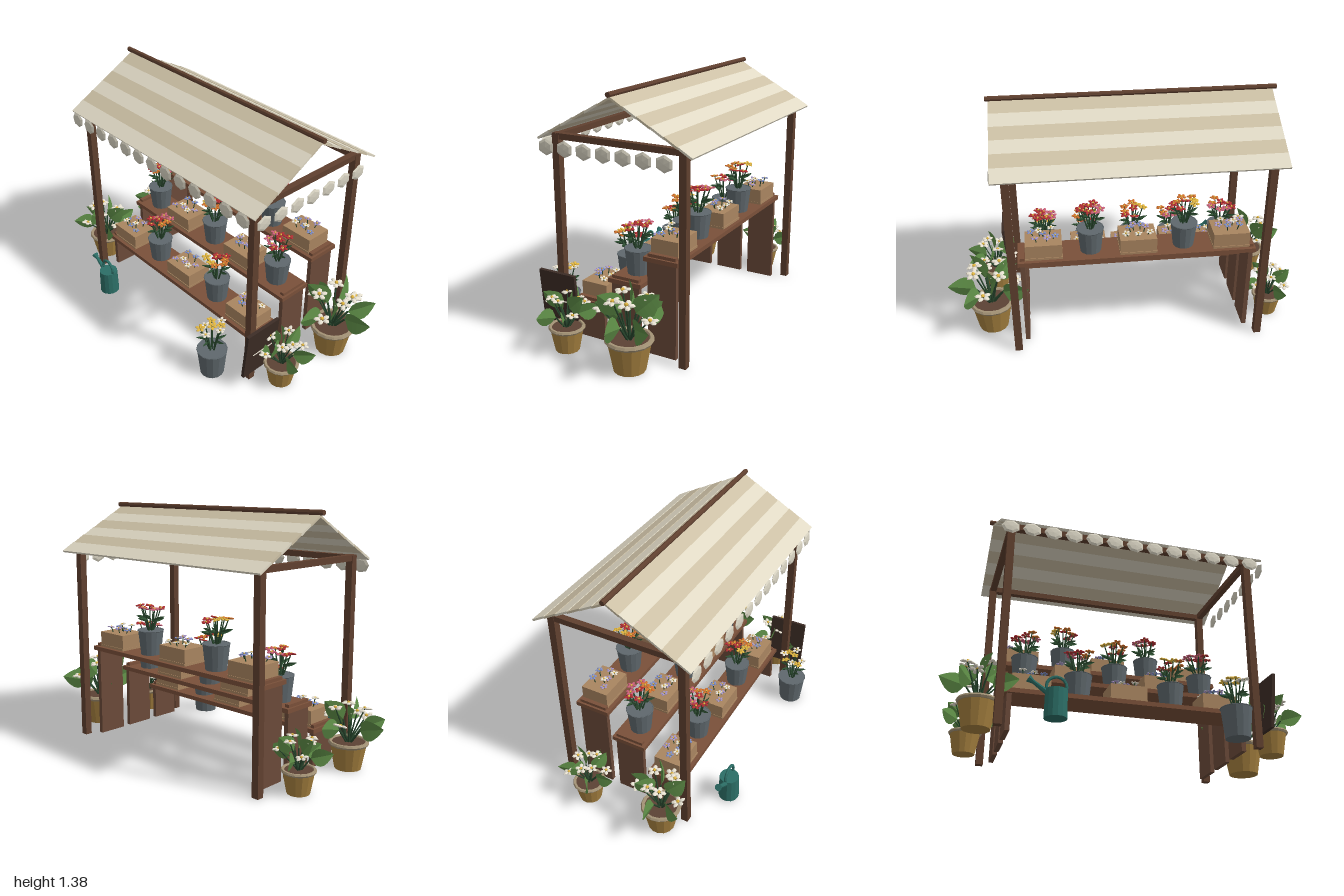
import * as THREE from 'three';

const mat = (color, side = THREE.FrontSide) =>
  new THREE.MeshStandardMaterial({ color, flatShading: true, side });
const M = {
  post: mat(0x60402f), shelf: mat(0x7a5039), panel: mat(0x6b4a39), dark: mat(0x3c2c25),
  cream: mat(0xe0d9c5), tan: mat(0xccc0a5), scallop: mat(0xd6d1c0),
  crate: mat(0xa98560), zinc: mat(0x5f686d), can: mat(0x2c6e66),
  clay: mat(0xa5803f), rim: mat(0xa39275), soil: mat(0x5c4234),
  stem: mat(0x27452c), leaf: mat(0x5c8a45, THREE.DoubleSide),
  blade: mat(0x2f5233, THREE.DoubleSide),
  red: mat(0xb02f33), orange: mat(0xd0702c), pink: mat(0xc85f78), yellow: mat(0xe0b540),
  white: mat(0xe8e2d2), blue: mat(0x7f8fc8), lilac: mat(0xa898c8),
};
const V = (x, y, z) => new THREE.Vector3(x, y, z);
const CX = -0.04; // centre line of the stall

function add(parent, name, geo, material, x = 0, y = 0, z = 0) {
  const m = new THREE.Mesh(geo, material);
  m.name = name;
  m.position.set(x, y, z);
  parent.add(m);
  return m;
}
function group(parent, name, x = 0, y = 0, z = 0) {
  const g = new THREE.Group();
  g.name = name;
  g.position.set(x, y, z);
  parent.add(g);
  return g;
}
const box = (p, name, w, h, d, m, x, y, z) => add(p, name, new THREE.BoxGeometry(w, h, d), m, x, y, z);

// Tapered rod between two points
function rod(parent, name, a, b, r0, r1, m, sides = 5) {
  const d = b.clone().sub(a);
  const mesh = add(parent, name, new THREE.CylinderGeometry(r1, r0, d.length(), sides), m);
  mesh.position.copy(a).addScaledVector(d, 0.5);
  mesh.quaternion.setFromUnitVectors(V(0, 1, 0), d.normalize());
  return mesh;
}

// Folded leaf, one unit long along x and one unit wide
const leafGeo = new THREE.PlaneGeometry(1, 1, 6, 2);
{
  const p = leafGeo.attributes.position;
  for (let i = 0; i < p.count; i++) {
    const t = p.getX(i) + 0.5, s = p.getY(i) * 2;
    const w = 0.5 * Math.pow(Math.sin(Math.PI * Math.pow(t, 0.75)), 0.9) || 0;
    p.setXYZ(i, t, s * w, Math.abs(s) * w * 0.3 - 0.12 * t * t);
  }
}
const petalGeo = new THREE.SphereGeometry(1, 6, 4);

// Flat open flower with five petals
function flower(parent, r, m, x, y, z, turn) {
  const g = group(parent, 'flower', x, y, z);
  g.rotation.set(Math.sin(turn * 3) * 0.2, turn, Math.cos(turn * 5) * 0.2);
  for (let i = 0; i < 5; i++) {
    const a = i * Math.PI * 0.4;
    const p = add(g, 'petal', petalGeo, m, Math.cos(a) * r * 0.6, 0, Math.sin(a) * r * 0.6);
    p.scale.set(r * 0.45, r * 0.18, r * 0.34);
    p.rotation.y = -a;
  }
  add(g, 'flowerCentre', petalGeo, M.yellow, 0, r * 0.12, 0).scale.set(r * 0.25, r * 0.2, r * 0.25);
}

// Fan of stems with flowers and small blades
function bouquet(parent, y, height, spread, colors, seed) {
  const g = group(parent, 'bouquet', 0, y, 0);
  for (let i = 0; i < 8; i++) {
    const a = i * 2.4 + seed, k = i === 0 ? 0.1 : 0.45 + 0.55 * Math.sqrt(i / 8);
    const x = Math.cos(a) * spread * k, z = Math.sin(a) * spread * k;
    const h = height * (1 - 0.18 * ((i * 3) % 5) / 4);
    rod(g, 'stem', V(x * 0.15, -0.02, z * 0.15), V(x, h, z), 0.005, 0.003, M.stem);
    flower(g, 0.027, colors[i % colors.length], x, h, z, a);
    const b = add(g, 'blade', leafGeo, M.blade, x * 0.4, h * 0.45, z * 0.4);
    b.rotation.set(-Math.PI / 2, 0.25, -a, 'YXZ');
    b.rotation.set(0, -a, 0.25);
    b.scale.set(0.065, 0.02, 0.03);
  }
}

// Tapered bucket with rim and soil
function bucket(parent, name, x, y, z, r, h, colors, seed, tall) {
  const g = group(parent, name, x, y, z);
  add(g, 'bucketBody', new THREE.CylinderGeometry(r, r * 0.79, h, 14), M.zinc, 0, h / 2, 0);
  add(g, 'bucketRim', new THREE.TorusGeometry(r, 0.003, 5, 14), M.zinc, 0, h, 0).rotation.x = Math.PI / 2;
  bouquet(g, h, tall, 0.068, colors, seed);
}

function crate(parent, x, y, z, seed) {
  const g = group(parent, 'flowerCrate', x, y, z);
  box(g, 'crateBody', 0.2, 0.09, 0.155, M.crate, 0, 0.045, 0);
  box(g, 'crateBase', 0.204, 0.012, 0.162, M.crate, 0, 0.008, 0);
  const colors = [M.blue, M.white, M.lilac];
  for (let i = 0; i < 7; i++) {
    const fx = (i - 3) * 0.022, fz = Math.sin(i * 2.3 + seed) * 0.045, h = 0.112 + 0.018 * ((i * 2) % 3) / 2;
    rod(g, 'stem', V(fx * 0.8, 0.085, fz * 0.8), V(fx, h, fz), 0.003, 0.003, M.stem);
    flower(g, 0.022, colors[(i + Math.round(seed)) % 3], fx, h, fz, i + seed);
  }
}

// Clay pot with broad upright leaves and white flowers; s scales the whole plant
function pottedPlant(parent, name, x, z, s, seed) {
  const g = group(parent, name, x, 0, z);
  g.scale.setScalar(s);
  add(g, 'potBody', new THREE.CylinderGeometry(0.108, 0.078, 0.155, 14), M.clay, 0, 0.0775, 0);
  add(g, 'potRim', new THREE.TorusGeometry(0.106, 0.013, 6, 16), M.rim, 0, 0.155, 0).rotation.x = Math.PI / 2;
  add(g, 'soil', new THREE.CylinderGeometry(0.1, 0.1, 0.012, 14), M.soil, 0, 0.153, 0);
  for (let i = 0; i < 7; i++) {
    const a = seed + i * Math.PI * 2 / 7, high = i % 2;
    const c = Math.cos(a), n = Math.sin(a);
    const r = high ? 0.035 : 0.075, y = high ? 0.29 : 0.24;
    rod(g, 'leafStem', V(c * 0.01, 0.15, n * 0.01), V(c * r, y, n * r), 0.007, 0.005, M.stem);
    const l = add(g, 'leaf', leafGeo, M.leaf, c * r, y, n * r);
    l.rotation.set(0, -a, high ? 0.75 : 0.25);
    l.scale.set(0.15, 0.12, 0.12);
    const b = a + 0.45, fr = high ? 0.135 : 0.085, fy = high ? 0.29 : 0.365;
    const fx = Math.cos(b) * fr, fz = Math.sin(b) * fr;
    rod(g, 'flowerStem', V(0, 0.15, 0), V(fx, fy, fz), 0.005, 0.004, M.stem);
    flower(g, 0.042, M.white, fx, fy, fz, b);
  }
}

function canopy(parent) {
  const g = group(parent, 'canopy');
  const ridge = { y: 1.345, z: -0.07 }, run = 0.44, drop = 0.237, n = 6;
  const angle = Math.atan2(drop, run), len = Math.hypot(run, drop) / n;
  for (const s of [1, -1]) {
    for (let i = 0; i < n; i++) {
      const t = (i + 0.5) / n;
      const strip = box(g, 'roofStrip', 1.5, 0.011, len + 0.006, i % 2 ? M.cream : M.tan,
        CX, ridge.y - drop * t, ridge.z + s * run * t);
      strip.rotation.x = s * (angle + 0.035);
    }
  }
  rod(g, 'ridgePole', V(-0.81, 1.363, -0.07), V(0.725, 1.363, -0.07), 0.014, 0.014, M.post, 8);
  // Scalloped trim along the front and the left end
  const disc = new THREE.SphereGeometry(1, 7, 4).rotateX(Math.PI / 2);
  const hex = new THREE.SphereGeometry(1, 6, 4).rotateX(Math.PI / 2).rotateZ(Math.PI / 2);
  for (let i = 0; i < 13; i++) {
    const d = add(g, 'frontScallop', disc, M.scallop, -0.737 + i * 0.1142, 1.07, 0.375);
    d.scale.set(0.05, 0.042, 0.009);
    d.rotation.x = -0.08;
  }
  for (let i = 0; i < 7; i++) {
    const d = add(g, 'sideScallop', hex, M.scallop, 0.716, 1.067, 0.315 - i * 0.1142);
    d.scale.set(0.051, 0.044, 0.008);
    d.rotation.y = Math.PI / 2;
  }
}

function wateringCan(parent) {
  const g = group(parent, 'wateringCan', -0.47, 0, 0.435);
  add(g, 'canBody', new THREE.CylinderGeometry(0.054, 0.057, 0.145, 14), M.can, 0, 0.083, 0);
  add(g, 'canHandle', new THREE.TorusGeometry(0.05, 0.008, 6, 16), M.can, 0, 0.172, 0);
  rod(g, 'spout', V(-0.04, 0.135, 0), V(-0.118, 0.188, 0), 0.015, 0.01, M.can, 8);
  rod(g, 'spoutHead', V(-0.113, 0.184, 0), V(-0.138, 0.2, 0), 0.01, 0.02, M.can, 8);
}

export function createModel() {
  const root = new THREE.Group();
  root.name = 'flowerStall';

  // Frame: posts and top beams
  const frame = group(root, 'frame');
  for (const x of [-0.725, 0.64]) {
    for (const z of [0.3, -0.437]) box(frame, 'post', 0.04, 1.125, 0.04, M.post, x, 0.5625, z);
    box(frame, 'sideBeam', 0.035, 0.032, 0.78, M.post, x, 1.114, -0.07);
  }
  for (const z of [0.3, -0.437]) box(frame, 'longBeam', 1.4, 0.032, 0.035, M.post, CX, 1.112, z);
  canopy(root);

  // Stepped shelves with alternating crates and buckets
  const mixes = [[M.red, M.orange, M.yellow], [M.red, M.pink, M.orange], [M.red, M.pink, M.red]];
  [[0.205, 0.15], [0.367, -0.068], [0.528, -0.285]].forEach(([y, z], row) => {
    const g = group(root, 'shelfTier');
    box(g, 'shelfBoard', 1.305, 0.024, 0.2, M.shelf, CX, y, z);
    for (const s of [1, -1]) {
      box(g, 'shelfLeg', 0.025, y - 0.012, 0.166, M.panel, CX + s * 0.628, (y - 0.012) / 2, z);
      box(g, 'endLip', 0.025, 0.018, 0.16, M.shelf, CX + s * 0.628, y + 0.02, z);
    }
    for (let i = 0; i < 5; i++) {
      const x = -0.558 + i * 0.257, top = y + 0.012;
      if ((i + row) % 2 === 0) crate(g, x, top, z, i + row);
      else bucket(g, 'flowerBucket', x, top, z, 0.073, 0.138, mixes[(i + row) % 3], i + row * 1.7, 0.14);
    }
  });

  bucket(root, 'frontBucket', 0.47, 0, 0.42, 0.083, 0.16, [M.yellow, M.white], 0.5, 0.17);
  wateringCan(root);

  // Leaning board with a pale stripe
  const board = group(root, 'signBoard', 0.698, 0.242, 0.283);
  board.rotation.z = -0.1;
  box(board, 'boardPanel', 0.018, 0.305, 0.225, M.dark, 0, 0, 0);
  box(board, 'boardStripe', 0.006, 0.006, 0.14, M.white, 0.009, -0.012, -0.01);

  pottedPlant(root, 'largePlantLeft', 0.785, -0.207, 1.07, 0);
  pottedPlant(root, 'smallPlantLeft', 0.77, 0.19, 0.82, 0.4);
  pottedPlant(root, 'largePlantRight', -0.815, 0.2, 0.92, Math.PI);
  pottedPlant(root, 'smallPlantRight', -0.83, -0.25, 0.76, 2.6);
  return root;
}
